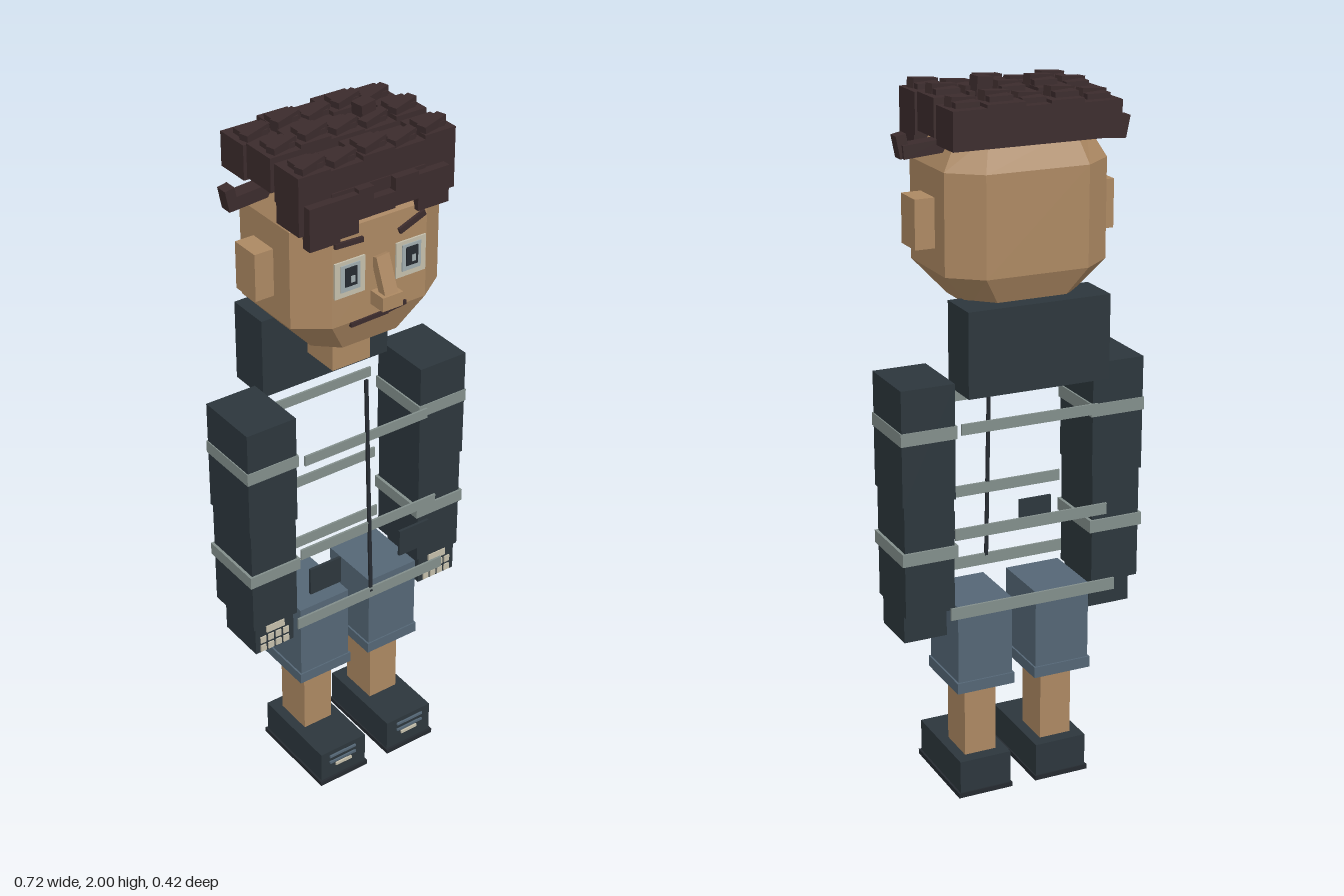
import * as THREE from 'three';

const mat = (name, color) => {
  const m = new THREE.MeshStandardMaterial({ color });
  m.name = name;
  return m;
};

export function createModel() {
  const skin = mat('skin', 0xac8862), hairM = mat('hair brown', 0x3b2b2c);
  const navy = mat('dark navy', 0x2c363c), denim = mat('denim blue', 0x546675);
  const stripe = mat('stripe grey', 0x828e8b), cream = mat('cream', 0xc4beaa);
  const iris = mat('iris grey', 0xa0acae), ink = mat('ink', 0x252a30);

  const model = new THREE.Group();
  model.name = 'figure';
  const group = (name) => {
    const g = new THREE.Group();
    g.name = name;
    model.add(g);
    return g;
  };
  // Box given by its limits on each axis, with optional rotation about its centre
  const box = (parent, name, m, [x0, x1], [y0, y1], [z0, z1], rot = [0, 0, 0]) => {
    const mesh = new THREE.Mesh(
      new THREE.BoxGeometry(Math.abs(x1 - x0), y1 - y0, z1 - z0), m);
    mesh.position.set((x0 + x1) / 2, (y0 + y1) / 2, (z0 + z1) / 2);
    mesh.rotation.set(...rot);
    mesh.name = name;
    parent.add(mesh);
    return mesh;
  };

  // Head: stacked octagonal rings [y, half width, flat half width, front, front corner, back corner, back]
  const head = group('head');
  const rings = [
    [1.415, 0.145, 0.085, 0.115, 0.06, -0.09, -0.15],
    [1.51, 0.23, 0.145, 0.155, 0.095, -0.125, -0.193],
    [1.78, 0.23, 0.145, 0.155, 0.095, -0.125, -0.193],
    [1.868, 0.18, 0.12, 0.12, 0.07, -0.1, -0.155],
  ].map(([y, h, c, f, fc, bc, b]) =>
    [[-c, f], [c, f], [h, fc], [h, bc], [c, b], [-c, b], [-h, bc], [-h, fc]].map(([x, z]) => [x, y, z]));
  const pos = [];
  const tri = (...pts) => pts.forEach((p) => pos.push(...p));
  for (let r = 0; r < 3; r++) {
    for (let i = 0; i < 8; i++) {
      const j = (i + 1) % 8, lo = rings[r], hi = rings[r + 1];
      tri(lo[i], lo[j], hi[j]);
      tri(lo[i], hi[j], hi[i]);
    }
  }
  for (let i = 1; i < 7; i++) {
    tri(rings[3][0], rings[3][i], rings[3][i + 1]);
    tri(rings[0][0], rings[0][i + 1], rings[0][i]);
  }
  const skullGeo = new THREE.BufferGeometry();
  skullGeo.setAttribute('position', new THREE.Float32BufferAttribute(pos, 3));
  skullGeo.computeVertexNormals();
  const skull = new THREE.Mesh(skullGeo, skin);
  skull.name = 'skull';
  head.add(skull);
  box(head, 'neck', skin, [-0.06, 0.06], [1.295, 1.43], [-0.08, 0.035]);

  // Nose, brows and mouth
  box(head, 'noseBridge', skin, [-0.018, 0.022], [1.56, 1.68], [0.162, 0.188], [-0.3, 0, 0.06]);
  box(head, 'noseTip', skin, [-0.027, 0.036], [1.543, 1.582], [0.15, 0.207]);
  box(head, 'rightBrow', hairM, [-0.14, -0.055], [1.733, 1.747], [0.15, 0.163], [0, 0, -0.04]);
  box(head, 'leftBrow', hairM, [0.053, 0.138], [1.732, 1.748], [0.15, 0.163], [0, 0, 0.38]);
  box(head, 'mouth', hairM, [-0.09, 0.025], [1.499, 1.511], [0.148, 0.161], [0, 0, 0.03]);
  box(head, 'mouthCorner', hairM, [0.02, 0.082], [1.506, 1.518], [0.148, 0.161], [0, 0, 0.1]);

  // Eyes and ears
  for (const s of [-1, 1]) {
    const x = s * 0.094;
    box(head, 'eyeFrame', cream, [x - 0.046, x + 0.046], [1.592, 1.692], [0.153, 0.16]);
    box(head, 'eyeIris', iris, [x - 0.029, x + 0.029], [1.608, 1.682], [0.156, 0.163]);
    box(head, 'pupil', ink, [x - 0.018, x + 0.018], [1.622, 1.674], [0.158, 0.166]);
    box(head, 'eyeGlint', iris, [x - 0.002, x + 0.01], [1.632, 1.65], [0.16, 0.168]);
    box(head, 'ear', skin, [s * 0.21, s * 0.285], [1.573, 1.705], [-0.064, 0.024]);
  }

  // Hair: three rows of blocks, each with a knob and a skewed lock on top
  const hair = group('hair');
  const rows = [
    { z: [-0.195, -0.092], y: [1.845, 1.94], xs: [-0.235, -0.127, -0.035, 0.035, 0.142, 0.235] },
    { z: [-0.077, 0.027], y: [1.86, 1.948], xs: [-0.235, -0.145, -0.055, 0.045, 0.142, 0.235] },
    { z: [0.043, 0.146], y: [1.845, 1.94], xs: [-0.235, -0.14, -0.045, 0.05, 0.142, 0.235] },
  ];
  rows.forEach(({ z, y, xs }, r) => {
    for (let i = 0; i < 5; i++) {
      const top = y[1] + [0, 0.012, 0.004, 0.015, 0.006][(i + r * 2) % 5];
      const x = -0.182 + i * 0.091;
      box(hair, 'hairBlock', hairM, [xs[i], xs[i + 1]], [y[0], top], z);
      box(hair, 'hairKnob', hairM, [x - 0.033, x + 0.033], [top - 0.01, top + 0.014],
        [z[0] + 0.028, z[0] + 0.085]);
      box(hair, 'hairLock', hairM, [x - 0.04, x + 0.04], [top - 0.01, top + 0.022],
        [z[0] + 0.06, z[0] + 0.088], [0, 0.25, 0.1]);
    }
  });
  box(hair, 'crownTuft', hairM, [0.062, 0.108], [1.94, 1.998], [-0.052, -0.012], [0, 0.1, 0.1]);

  // Fringe pieces [x0, x1, bottom, top]
  for (const [x0, x1, y0, y1] of [[-0.22, -0.13, 1.755, 1.87], [-0.13, -0.075, 1.765, 1.87],
    [-0.075, -0.03, 1.8, 1.88], [-0.03, 0.035, 1.8, 1.845], [0.035, 0.105, 1.805, 1.88],
    [0.105, 0.2, 1.77, 1.87]]) {
    box(hair, 'fringe', hairM, [x0, x1], [y0, y1], [0.14, 0.17]);
  }
  box(hair, 'fringeSide', hairM, [-0.235, -0.13], [1.79, 1.86], [0.05, 0.146]);
  box(hair, 'fringeSide', hairM, [0.14, 0.235], [1.79, 1.86], [0.05, 0.146]);
  box(hair, 'fringeBack', hairM, [-0.14, 0.14], [1.85, 1.88], [0.1, 0.15]);
  for (const s of [-1, 1]) {
    box(hair, 'sideTuft', hairM, [s * 0.2, s * 0.315], [1.815, 1.85], [-0.07, -0.027], [0, 0, s * -0.08]);
    box(hair, 'sideTuftTip', hairM, [s * 0.298, s * 0.326], [1.812, 1.872], [-0.062, -0.027], [0, 0, s * -0.2]);
  }

  // Jacket: hood, floating bands, zip line and pockets
  const jacket = group('jacket');
  box(jacket, 'hood', navy, [-0.203, 0.203], [1.205, 1.437], [-0.208, -0.08]);
  for (const [w, y, h, zf, zb] of [[0.2, 1.105, 0.03, 0.107, -0.153],
    [0.225, 0.818, 0.032, 0.12, -0.164], [0.245, 0.597, 0.034, 0.13, -0.177]]) {
    for (const z of [zf, zb]) {
      box(jacket, 'bodyBand', stripe, [-w, w], [y - h / 2, y + h / 2], [z - 0.003, z + 0.003]);
    }
  }
  box(jacket, 'zip', ink, [-0.005, 0.005], [0.6, 1.28], [0.113, 0.119], [-0.042, 0, 0]);

  for (const s of [-1, 1]) {
    box(jacket, 'pocket', navy, [s * 0.1, s * 0.2], [0.677, 0.76], [0.12, 0.128]);

    // Sleeves, cuffs and hands
    const arm = group(s > 0 ? 'leftArm' : 'rightArm');
    box(arm, 'upperSleeve', navy, [s * 0.203, s * 0.355], [0.9, 1.222], [-0.12, 0.073]);
    box(arm, 'lowerSleeve', navy, [s * 0.207, s * 0.35], [0.58, 0.9], [-0.117, 0.07]);
    for (const y of [1.088, 0.75]) {
      box(arm, 'sleeveBand', stripe, [s * 0.198, s * 0.358], [y - 0.018, y + 0.018], [-0.123, 0.076]);
    }
    box(arm, 'hand', navy, [s * 0.217, s * 0.342], [0.492, 0.585], [-0.083, 0.065]);
    box(arm, 'handBone', cream, [s * 0.25, s * 0.308], [0.557, 0.579], [0.063, 0.072]);
    for (let i = 0; i < 4; i++) {
      const x = s * (0.243 + i * 0.025);
      for (const y of [0.506, 0.535]) {
        box(arm, 'fingerBone', cream, [x - 0.009, x + 0.009], [y - 0.01, y + 0.01], [0.062, 0.069]);
      }
    }

    // Shorts, shins and shoes
    const leg = group(s > 0 ? 'leftLeg' : 'rightLeg');
    box(leg, 'shorts', denim, [s * 0.036, s * 0.198], [0.35, 0.583], [-0.117, 0.073]);
    box(leg, 'shortsCuff', denim, [s * 0.031, s * 0.203], [0.325, 0.357], [-0.122, 0.077]);
    box(leg, 'shin', skin, [s * 0.07, s * 0.164], [0.1, 0.33], [-0.08, 0.036]);
    box(leg, 'shoe', navy, [s * 0.04, s * 0.194], [0.01, 0.11], [-0.116, 0.163]);
    box(leg, 'sole', ink, [s * 0.036, s * 0.2], [0, 0.014], [-0.12, 0.17]);
    box(leg, 'lace', denim, [s * 0.075, s * 0.165], [0.088, 0.095], [0.16, 0.168]);
    box(leg, 'lace', denim, [s * 0.075, s * 0.165], [0.066, 0.073], [0.16, 0.168]);
    box(leg, 'toeMark', cream, [s * 0.09, s * 0.145], [0.05, 0.059], [0.16, 0.168]);
  }
  return model;
}
